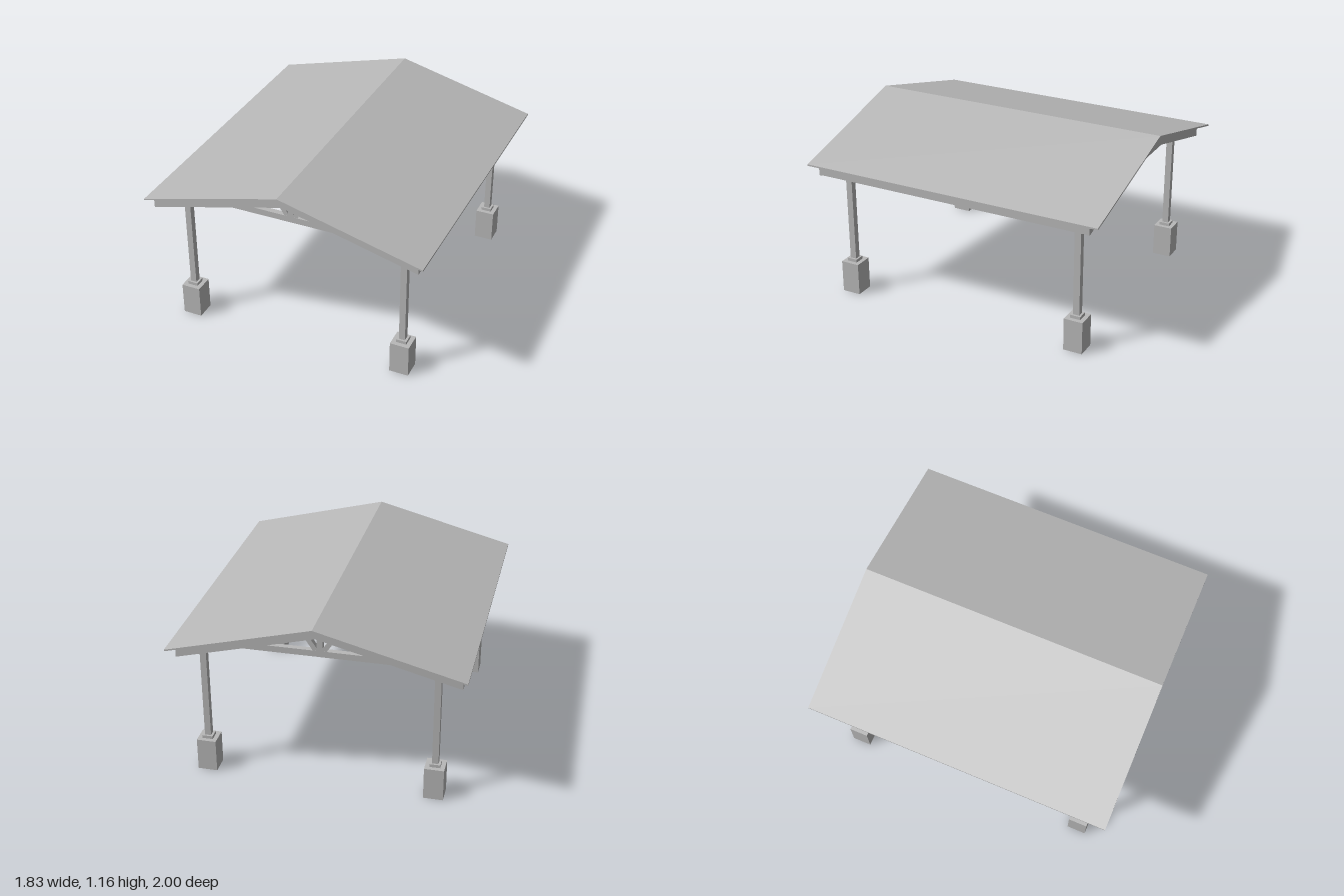
import * as THREE from 'three';

export function createModel() {
  const model = new THREE.Group();
  model.name = 'openPavilion';
  const grey = new THREE.MeshStandardMaterial({ name: 'plainGrey', color: 0xb8b8b8 });
  const slope = 0.259;

  function add(name, geometry, x = 0, y = 0, z = 0) {
    const mesh = new THREE.Mesh(geometry, grey);
    mesh.name = name;
    mesh.position.set(x, y, z);
    model.add(mesh);
    return mesh;
  }
  const box = (name, w, h, d, x, y, z) => add(name, new THREE.BoxGeometry(w, h, d), x, y, z);

  // Pitched strip following both slopes, extruded along z and centred on z
  function pitched(name, left, right, top, depth, length, z) {
    const yl = top + left * slope, yr = top - right * slope;
    const shape = new THREE.Shape([
      [left, yl - depth], [0, top - depth], [right, yr - depth],
      [right, yr], [0, top], [left, yl],
    ].map(([x, y]) => new THREE.Vector2(x, y)));
    const geometry = new THREE.ExtrudeGeometry(shape, { depth: length, bevelEnabled: false });
    return add(name, geometry, 0, 0, z - length / 2);
  }

  // Roof sheet
  pitched('roofSheet', -0.917, 0.917, 1.16, 0.01, 2, 0);

  // Gable boards and eave fascias
  const xl = -0.882, xr = 0.872, board = 0.015;
  for (const z of [0.9375, -0.9225]) pitched('gableBoard', xl, xr, 1.15, 0.082, board, z);
  for (const x of [xl + board / 2, xr - board / 2]) {
    const top = 1.149 - Math.abs(x) * slope;
    box('eaveFascia', board, 0.08, 1.86, x, top - 0.04, 0.0075);
  }

  // Common rafters
  for (let i = 0; i < 9; i++) {
    pitched('rafter', xl + board, xr - board, 1.15, 0.042, 0.035, -0.805 + i * 0.20125);
  }

  // Ridge beam and the two long beams over the posts
  box('ridgeBeam', 0.036, 0.04, 1.65, 0, 1.09, 0);
  const postX = [-0.72, 0.737], postZ = [0.805, -0.805];
  for (const x of postX) box('sideBeam', 0.04, 0.045, 1.65, x, 0.912, 0);

  for (const z of postZ) {
    // Truss: tie beam, king post and two slanted struts
    box('tieBeam', 1.457, 0.04, 0.036, 0.008, 0.91, z);
    box('kingPost', 0.036, 0.17, 0.036, 0, 1.005, z);
    for (const side of [-1, 1]) {
      const strut = box('strut', 0.03, 0.19, 0.034, side * 0.067, 0.993, z);
      strut.rotation.z = -side * 0.59;
    }
    // Posts on base plates and concrete footings
    for (const x of postX) {
      box('post', 0.04, 0.656, 0.042, x, 0.562, z);
      box('basePlate', 0.068, 0.02, 0.068, x, 0.225, z);
      box('footing', 0.124, 0.215, 0.124, x, 0.1075, z);
    }
  }
  return model;
}
